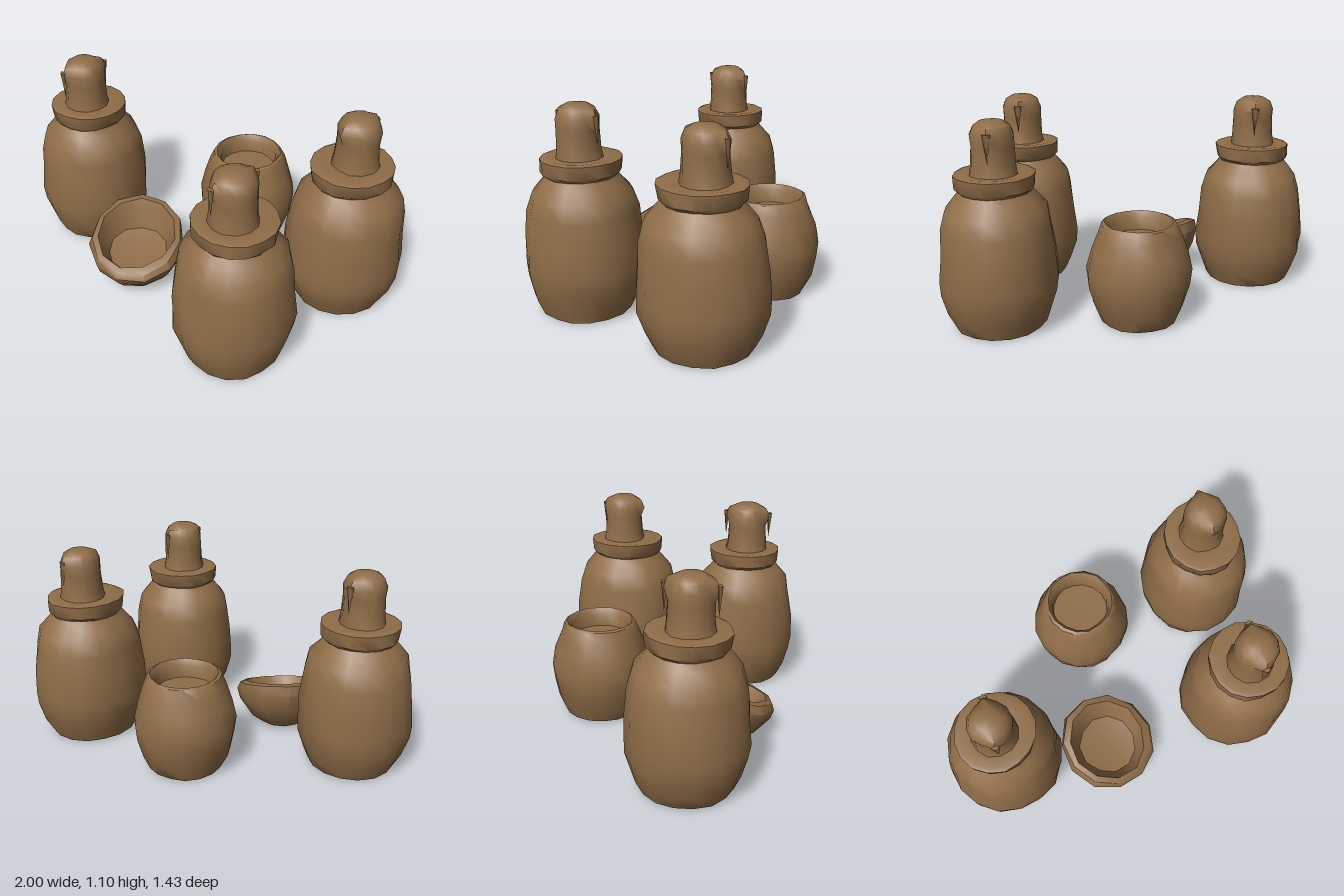
import * as THREE from 'three';
import { mergeVertices, toCreasedNormals } from 'three/addons/utils/BufferGeometryUtils.js';

// Small seeded generator for the hand-made unevenness
function seeded(seed) {
  let s = seed;
  return () => (s = (s * 16807) % 2147483647) / 2147483647;
}

// Turned clay form: profile [radius, height] from the outside base upward
function turned(profile, sides, seed, warp) {
  let geo = new THREE.LatheGeometry(profile.map(([r, y]) => new THREE.Vector2(r, y)), sides);
  geo.deleteAttribute('uv');
  geo.deleteAttribute('normal');
  geo = mergeVertices(geo, 1e-4);
  const rand = seeded(seed);
  const p = geo.attributes.position;
  const v = new THREE.Vector3();
  for (let i = 0; i < p.count; i++) {
    v.fromBufferAttribute(p, i);
    const k = 1 + (rand() - 0.5) * 0.05;
    v.x *= k;
    v.z *= k;
    if (warp) warp(v);
    p.setXYZ(i, v.x, v.y, v.z);
  }
  return toCreasedNormals(geo, 0.75);
}

export function createModel() {
  const model = new THREE.Group();
  const clay = new THREE.MeshStandardMaterial({ color: 0x8f6d48 });
  clay.name = 'brown clay';

  const add = (parent, name, geo) => {
    const mesh = new THREE.Mesh(geo, clay);
    mesh.name = name;
    parent.add(mesh);
    return mesh;
  };

  // Body with recessed foot, shoulder and overhanging collar
  const bodyProfile = [
    [0, 0.04], [0.19, 0.035], [0.225, 0.01], [0.242, 0.015], [0.275, 0.09],
    [0.308, 0.2], [0.314, 0.28], [0.304, 0.42], [0.288, 0.56], [0.265, 0.65],
    [0.215, 0.71], [0.186, 0.745], [0.205, 0.765], [0.211, 0.835],
    [0.19, 0.842], [0.12, 0.835], [0, 0.835],
  ];
  // Stopper with a domed head
  const stopperProfile = [
    [0.126, 0.83], [0.117, 0.88], [0.112, 0.98], [0.114, 1.04],
    [0.095, 1.085], [0.06, 1.108], [0, 1.112],
  ];
  // Pull the head out to a point at front and back
  const pinch = (v) => {
    if (v.y > 0.99 && v.y < 1.09 && Math.abs(v.x) < 0.02) v.z *= 1.18;
  };

  const jars = [
    { name: 'rightFrontJar', x: -0.69, z: 0.36, depth: 1, tips: [1, -1], seed: 11 },
    { name: 'leftFrontJar', x: 0.68, z: 0.36, depth: 1, tips: [1, -1], seed: 57 },
    { name: 'leftBackJar', x: 0.68, z: -0.4, depth: 1.06, tips: [-1], seed: 93 },
  ];
  for (const { name, x, z, depth, tips, seed } of jars) {
    const jar = new THREE.Group();
    jar.name = name;
    jar.position.set(x, 0, z);
    const body = add(jar, 'jarBody', turned(bodyProfile, 16, seed));
    body.scale.z = depth;
    add(jar, 'stopper', turned(stopperProfile, 12, seed + 5, pinch)).position.z = z < 0 ? -0.02 : 0.01;
    // Thin drooping tips under the head
    for (const side of tips) {
      const tip = add(jar, 'stopperTip', new THREE.ConeGeometry(0.022, 0.15, 4));
      tip.rotation.x = Math.PI;
      tip.scale.z = 0.7;
      tip.position.set(0, 0.985, side * 0.13 + (z < 0 ? -0.01 : 0.01));
    }
    model.add(jar);
  }

  // Open pot with rolled rim and hollow mouth
  const pot = add(model, 'openPot', turned([
    [0, 0.035], [0.16, 0.03], [0.19, 0.01], [0.207, 0.015], [0.245, 0.1],
    [0.275, 0.21], [0.28, 0.3], [0.258, 0.41], [0.222, 0.5], [0.2, 0.555],
    [0.185, 0.562], [0.163, 0.53], [0.155, 0.46], [0, 0.455],
  ], 16, 29));
  pot.position.set(-0.055, 0, -0.32);

  // Shallow bowl whose rim slopes down toward the front and left
  const lean = (v) => {
    v.y += (v.y / 0.28) * (-0.27 * v.x - 0.25 * v.z);
  };
  const bowl = add(model, 'tiltedBowl', turned([
    [0, 0.01], [0.13, 0.02], [0.205, 0.075], [0.25, 0.15], [0.27, 0.22],
    [0.255, 0.265], [0.218, 0.275], [0.2, 0.235], [0.165, 0.15], [0, 0.125],
  ], 11, 71, lean));
  bowl.position.set(-0.11, 0, 0.435);

  return model;
}
